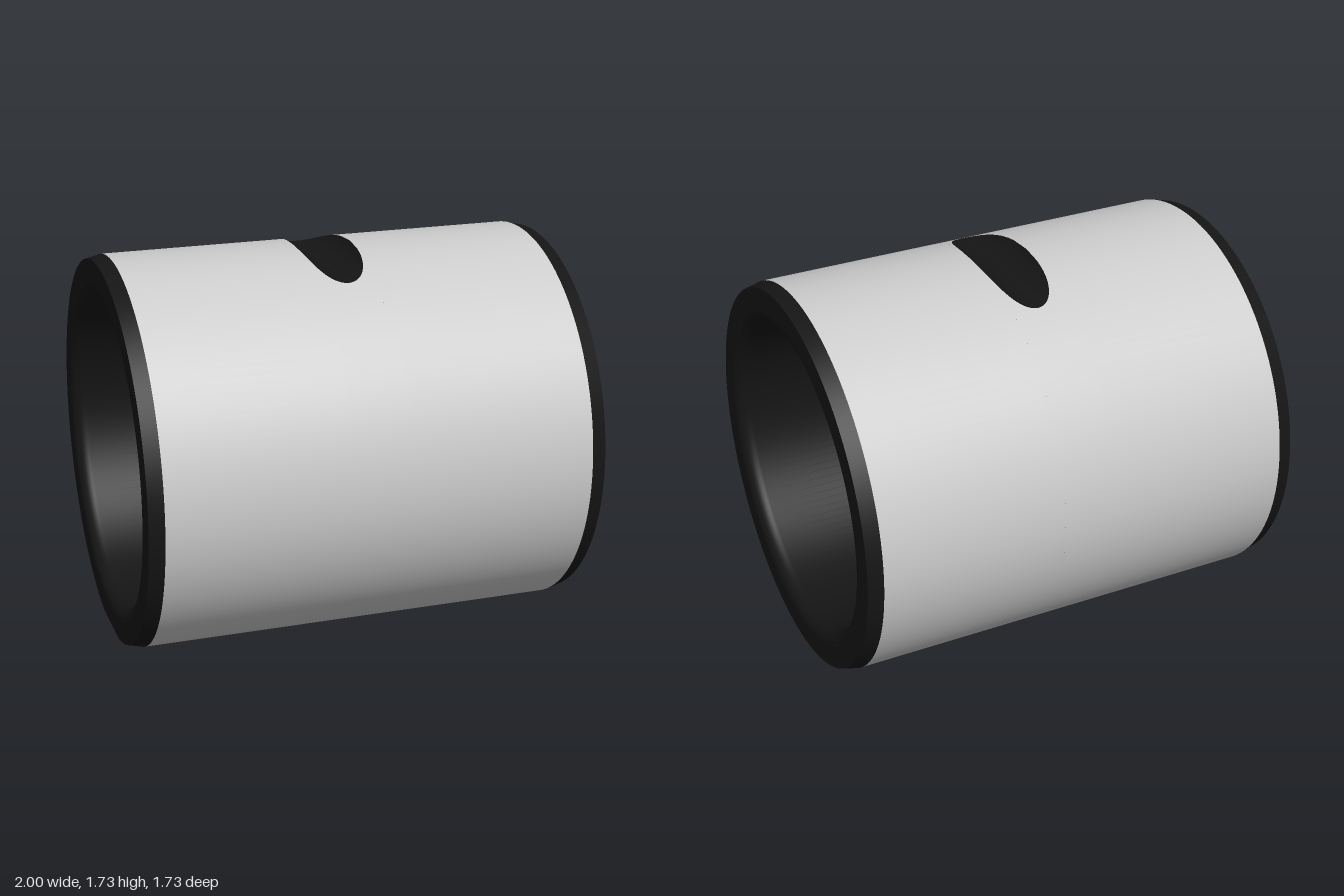
import * as THREE from 'three';

const R = 0.863, END_R = 0.847, BORE = 0.685, FILLET = 0.06; // radii
const BODY = 0.935;                                          // where the end chamfers start
const FLAT_Y = 0.833, FLAT_END = 0.115;                      // flat below the axis
const GROOVE_R = 0.141, GROOVE_Y = 0.921;                    // round cross groove on top
const SEG = 128;

const steel = new THREE.MeshStandardMaterial({ color: 0xcccccc });
const dark = new THREE.MeshStandardMaterial({ color: 0x151515 });
const darkDouble = new THREE.MeshStandardMaterial({ color: 0x151515, side: THREE.DoubleSide });

// Surface swept through the stations xs; point(x, v) gives [y, z], v = 0..1
function sweep(xs, n, point, normal) {
  const pos = [], nor = [], idx = [];
  xs.forEach((x, i) => {
    for (let j = 0; j <= n; j++) {
      const [y, z] = point(x, j / n);
      pos.push(x, y, z);
      if (normal) nor.push(...normal(x, y, z));
      if (i && j) {
        const d = i * (n + 1) + j, b = d - n - 1;
        idx.push(b - 1, d - 1, b, b, d - 1, d);
      }
    }
  });
  const g = new THREE.BufferGeometry();
  g.setAttribute('position', new THREE.Float32BufferAttribute(pos, 3));
  g.setIndex(idx);
  if (normal) g.setAttribute('normal', new THREE.Float32BufferAttribute(nor, 3));
  else g.computeVertexNormals();
  return g;
}

// Groove half width in x, and its floor height above the axis
const grooveHalf = Math.sqrt(GROOVE_R ** 2 - (GROOVE_Y - R) ** 2);
const grooveFloor = x => Math.abs(x) >= grooveHalf ? R : Math.min(R, GROOVE_Y - Math.sqrt(GROOVE_R ** 2 - x * x));
const halfChord = (r, h) => Math.sqrt(Math.max(0, r * r - h * h));
const flatAngle = r => Math.acos(FLAT_Y / r);

const grooveXs = [];
const grooveArc = Math.asin(grooveHalf / GROOVE_R);
for (let i = 0; i <= 40; i++) grooveXs.push(GROOVE_R * Math.sin(grooveArc * (i / 20 - 1)));

export function createModel() {
  const model = new THREE.Group();
  model.position.y = R;
  const add = (name, geometry, material) => {
    const mesh = new THREE.Mesh(geometry, material);
    mesh.name = name;
    model.add(mesh);
  };

  // One side (+z or -z) of the round skin, trimmed by the flat and the groove
  function skin(name, xs, radius, hasFlat, slope, material) {
    for (const side of [1, -1]) {
      const point = (x, v) => {
        const r = radius(x);
        const from = hasFlat ? flatAngle(r) : 0;
        const to = Math.PI - Math.acos(Math.min(1, grooveFloor(x) / R));
        const a = side > 0 ? from + (to - from) * v : -to + (to - from) * v;
        return [-r * Math.cos(a), r * Math.sin(a)];
      };
      const normal = (x, y, z) => {
        const l = Math.hypot(y, z), k = Math.hypot(1, slope);
        return [slope / k, y / l / k, z / l / k];
      };
      add(name, sweep(xs, SEG / 2, point, normal), material);
    }
  }

  // Outer skin, split at the end of the flat
  const left = grooveXs.filter(x => x < FLAT_END), right = grooveXs.filter(x => x > FLAT_END);
  skin('outerSkin', [-BODY, ...left, FLAT_END], () => R, true, 0, steel);
  skin('outerSkin', [FLAT_END, ...right, BODY], () => R, false, 0, steel);

  // End chamfers
  const slope = (R - END_R) / (1 - BODY);
  const chamferR = x => R - (Math.abs(x) - BODY) * slope;
  skin('rightChamfer', [-1, -BODY], chamferR, true, -slope, dark);
  skin('leftChamfer', [BODY, 1], chamferR, false, slope, dark);

  // End rings; the right one is cut by the flat
  for (const side of [1, -1]) {
    const a = side < 0 ? flatAngle(END_R) : 0;
    const ring = new THREE.Shape();
    ring.absarc(0, 0, END_R, -Math.PI / 2 + a, Math.PI * 1.5 - a);
    ring.holes.push(new THREE.Path().absarc(0, 0, BORE + FILLET, 0, Math.PI * 2, true));
    add(side > 0 ? 'leftEndRing' : 'rightEndRing',
      new THREE.ShapeGeometry(ring, SEG).rotateY(side * Math.PI / 2).translate(side, 0, 0), dark);
  }

  // Bore with rounded mouths
  const profile = [];
  for (const side of [1, -1]) {
    for (let i = 0; i <= 8; i++) {
      const a = (side > 0 ? i : 8 - i) / 8 * Math.PI / 2;
      profile.push(new THREE.Vector2(BORE + FILLET - FILLET * Math.sin(a), side * (1 - FILLET + FILLET * Math.cos(a))));
    }
  }
  add('bore', new THREE.LatheGeometry(profile, SEG).rotateZ(-Math.PI / 2), darkDouble);

  // Cross groove on top
  add('topGroove', sweep(grooveXs, 1, (x, v) => {
    const y = grooveFloor(x);
    return [y, halfChord(R, y) * (1 - 2 * v)];
  }), dark);

  // Flat on the underside, with a small drilled hole
  const w = halfChord(R, FLAT_Y), w0 = halfChord(END_R, FLAT_Y);
  const flat = new THREE.Shape([[-1, -w0], [-BODY, -w], [FLAT_END, -w], [FLAT_END, w], [-BODY, w], [-1, w0]]
    .map(p => new THREE.Vector2(...p)));
  flat.holes.push(new THREE.Path().absarc(0, 0, 0.04, 0, Math.PI * 2, true));
  add('bottomFlat', new THREE.ShapeGeometry(flat, 24).rotateX(Math.PI / 2).translate(0, -FLAT_Y, 0), dark);

  const hole = [[0, -0.69], [0.04, -0.69], [0.04, -FLAT_Y]].map(p => new THREE.Vector2(...p));
  add('drilledHole', new THREE.LatheGeometry(hole, 24), darkDouble);

  // Step closing the flat
  const step = new THREE.Shape();
  step.absarc(0, 0, R, -Math.PI / 2 - flatAngle(R), -Math.PI / 2 + flatAngle(R));
  add('flatStep', new THREE.ShapeGeometry(step, 24).rotateY(-Math.PI / 2).translate(FLAT_END, 0, 0), dark);

  const group = new THREE.Group();
  group.name = 'bushing';
  group.add(model);
  return group;
}
